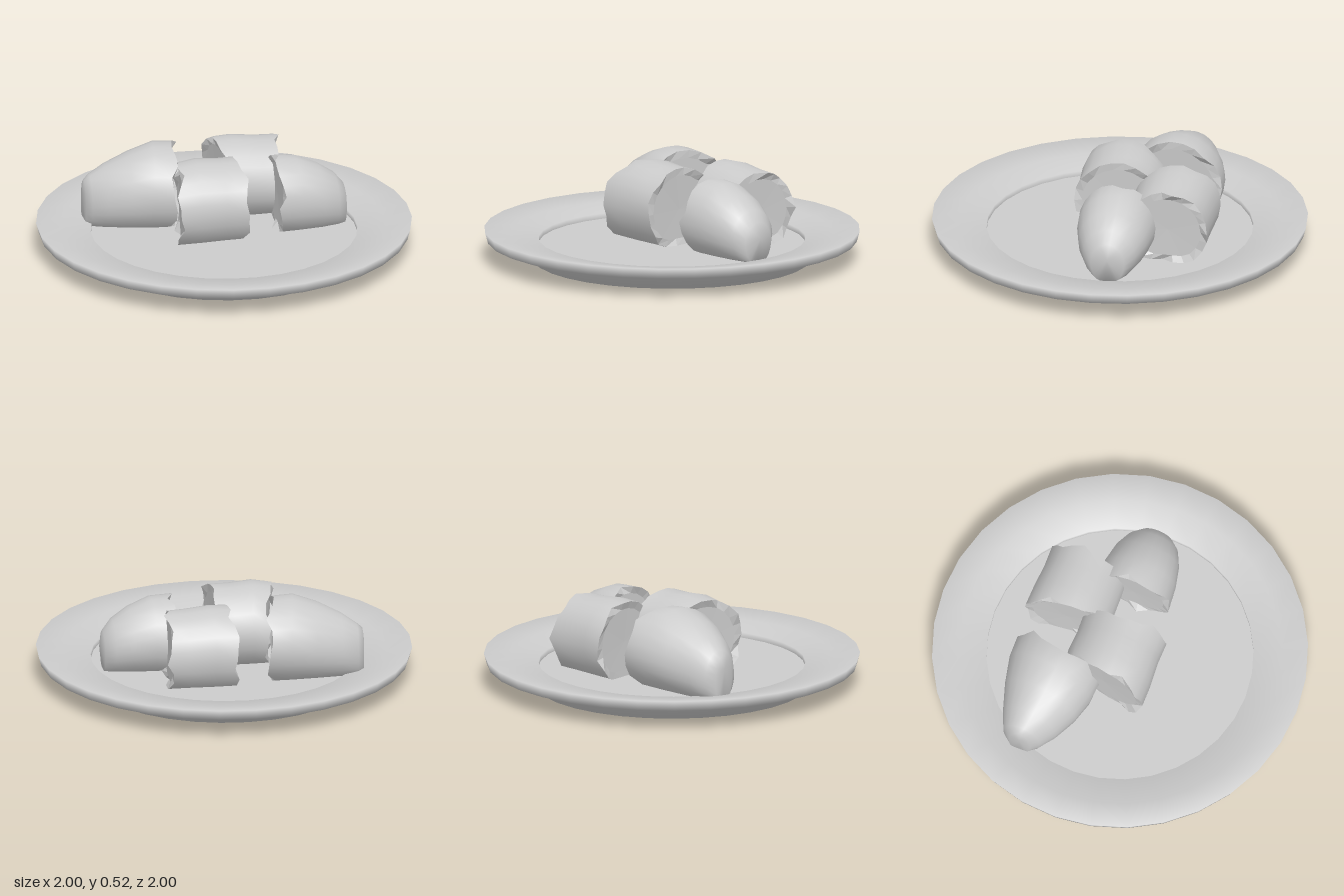
import * as THREE from 'three';

const BASE = 0.09, SIDES = 22;
const grey = () => new THREE.MeshStandardMaterial({ color: 0xcccccc, side: THREE.DoubleSide });
const torn = () => new THREE.MeshStandardMaterial({ color: 0xcccccc, side: THREE.DoubleSide, flatShading: true });

function lathe(name, points) {
  const geo = new THREE.LatheGeometry(points.map(p => new THREE.Vector2(...p)), 32);
  const mesh = new THREE.Mesh(geo, grey());
  mesh.name = name;
  return mesh;
}

function makeMesh(name, points, index, material) {
  const geo = new THREE.BufferGeometry();
  geo.setAttribute('position', new THREE.Float32BufferAttribute(points.flat(), 3));
  geo.setIndex(index);
  geo.computeVertexNormals();
  const mesh = new THREE.Mesh(geo, material);
  mesh.name = name;
  return mesh;
}

// One flat-bottomed ring of the loaf: x, centre z, half width, top height, slant, raggedness
function ring([x, zc, hw, top, skew = 0, rag = 0], seed, scale = 1) {
  const h = top - BASE, middle = BASE + 0.46 * h, pts = [];
  for (let j = 0; j < SIDES; j++) {
    const a = (j / SIDES) * Math.PI * 2;
    const bump = 1 + 0.015 * Math.sin(3 * a + seed * 1.7);
    const z = hw * Math.cos(a) * bump * scale;
    const y = Math.max(BASE, middle + 0.54 * h * Math.sin(a));
    const jag = rag * (Math.sin(5 * a + seed) + 0.6 * Math.sin(9 * a + seed * 2));
    pts.push([x + skew * z + jag, middle + (y - middle) * scale, zc + z]);
  }
  return pts;
}

// Strips of faces joining consecutive rings
function loft(count) {
  const index = [];
  for (let i = 0; i < count - 1; i++) {
    for (let j = 0; j < SIDES; j++) {
      const k = (j + 1) % SIDES, a = i * SIDES, b = a + SIDES;
      index.push(a + j, b + j, a + k, a + k, b + j, b + k);
    }
  }
  return index;
}

// Fan of faces closing a ring around a centre point
function fan(centre, offset, dir) {
  const index = [];
  for (let j = 0; j < SIDES; j++) {
    const k = (j + 1) % SIDES;
    index.push(centre, offset + (dir > 0 ? k : j), offset + (dir > 0 ? j : k));
  }
  return index;
}

// A chunk: smooth crust lofted through rings, each end either a rounded tip or a torn face
function chunk(name, sections, { startTip, endTip }, seed) {
  const group = new THREE.Group();
  group.name = name;
  const rings = sections.map((s, i) => ring(s, seed + i * 0.4));
  const pts = rings.flat(), index = loft(rings.length);
  [[0, startTip, -1], [rings.length - 1, endTip, 1]].forEach(([r, tip, dir]) => {
    if (tip) {
      pts.push(tip);
      index.push(...fan(pts.length - 1, r * SIDES, dir));
      return;
    }
    // Ragged border around a nearly flat crumb
    const [x, zc, hw, top, skew] = sections[r];
    const inner = ring([x - dir * 0.008, zc, hw, top, skew], seed + r * 0.4, 0.82);
    const centre = [x - dir * 0.012, BASE + 0.46 * (top - BASE), zc];
    const border = loft(2);
    if (dir < 0) border.reverse();
    group.add(makeMesh('tornFace', [...rings[r], ...inner, centre],
      [...border, ...fan(2 * SIDES, SIDES, dir)], torn()));
  });
  group.add(makeMesh('crust', pts, index, grey()));
  return group;
}

export function createModel() {
  const model = new THREE.Group();

  // Plate: smooth shell from the foot over the lip and down the rim, with a flat sunken centre
  const plate = new THREE.Group();
  plate.name = 'plate';
  plate.add(
    lathe('plateShell', [[0, 0], [0.735, 0], [0.81, 0.052], [0.985, 0.11], [1, 0.165],
      [0.86, 0.14], [0.71, 0.114], [0.71, 0.085]]),
    lathe('plateCentre', [[0.71, 0.085], [0, 0.085]])
  );
  model.add(plate);

  // Bread: two rounded loaf ends and two middle chunks
  model.add(
    chunk('leftLoafEnd', [
      [-0.69, -0.315, 0.06, 0.34],
      [-0.66, -0.315, 0.105, 0.365, -0.05],
      [-0.58, -0.3, 0.155, 0.42, -0.1],
      [-0.45, -0.285, 0.21, 0.48, -0.15],
      [-0.32, -0.275, 0.245, 0.523, -0.18],
      [-0.21, -0.27, 0.25, 0.515, -0.2, 0.016]
    ], { startTip: [-0.7, 0.27, -0.315] }, 1),
    chunk('frontMiddleChunk', [
      [-0.245, 0, 0.235, 0.5, -0.2, 0.016],
      [-0.15, 0, 0.24, 0.515, -0.1],
      [-0.03, 0, 0.232, 0.505, -0.02],
      [0.07, 0, 0.235, 0.505, 0.05, 0.012]
    ], {}, 2.3),
    chunk('backMiddleChunk', [
      [0.035, -0.315, 0.232, 0.5, 0.08, 0.014],
      [0.13, -0.315, 0.228, 0.505],
      [0.26, -0.31, 0.222, 0.49, -0.04],
      [0.36, -0.31, 0.22, 0.485, -0.06, 0.016]
    ], {}, 4.1),
    chunk('rightLoafEnd', [
      [0.29, -0.035, 0.212, 0.48, -0.04, 0.016],
      [0.4, -0.035, 0.205, 0.475],
      [0.52, -0.035, 0.18, 0.425],
      [0.61, -0.035, 0.14, 0.365],
      [0.66, -0.035, 0.09, 0.305]
    ], { endTip: [0.68, 0.22, -0.035] }, 5.6)
  );
  return model;
}
